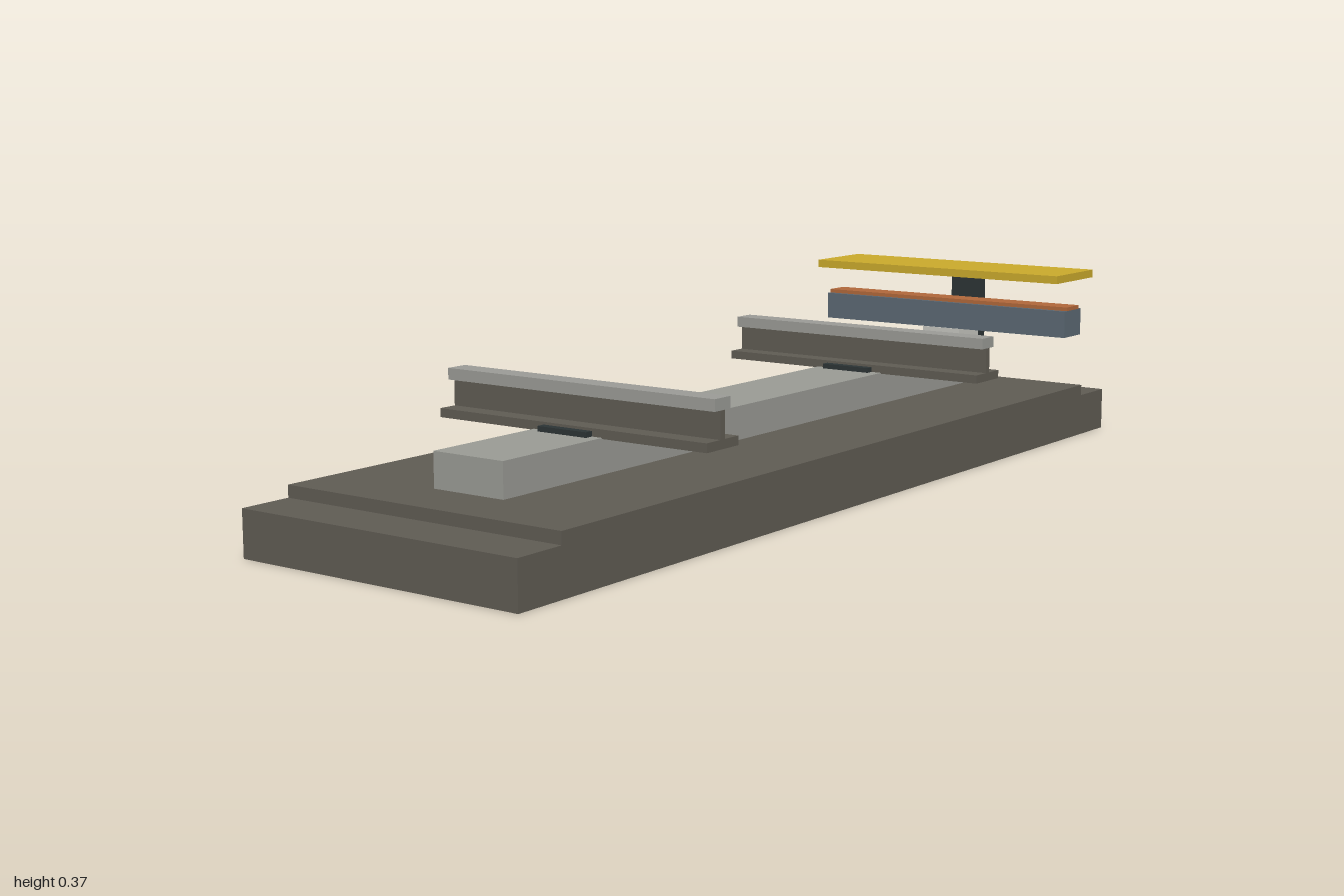
import * as THREE from 'three';

const material = (name, color) => {
  const m = new THREE.MeshStandardMaterial({ color });
  m.name = name;
  return m;
};

export function createModel() {
  const ballast = material('ballast brown', 0x5f5b53);
  const concrete = material('concrete grey', 0x999a94);
  const steel = material('polished steel', 0x9a9b96);
  const dark = material('dark fitting', 0x2c3435);
  const insulator = material('pale insulator', 0xc5c5bf);
  const slate = material('slate blue', 0x5b6873);
  const copper = material('copper', 0xb0673a);
  const yellow = material('safety yellow', 0xc9a92c);

  const model = new THREE.Group();
  model.name = 'trackSection';
  const length = 0.616; // along the rails, in x

  // Box centred on x, given its width and its y and z ranges
  const box = (parent, name, mat, width, y0, y1, z0, z1) => {
    const mesh = new THREE.Mesh(new THREE.BoxGeometry(width, y1 - y0, z1 - z0), mat);
    mesh.position.set(0, (y0 + y1) / 2, (z0 + z1) / 2);
    mesh.name = name;
    parent.add(mesh);
  };

  // Stepped track bed and sleeper
  box(model, 'lowerBed', ballast, length, 0, 0.088, -1, 1);
  box(model, 'upperBed', ballast, length, 0.088, 0.111, -0.895, 0.895);
  box(model, 'sleeper', concrete, 0.158, 0.111, 0.177, -0.773, 0.773);

  // Two running rails on base plates
  for (const [name, z] of [['frontRail', 0.465], ['backRail', -0.465]]) {
    const rail = new THREE.Group();
    rail.name = name;
    rail.position.z = z;
    box(rail, 'basePlate', dark, 0.112, 0.174, 0.187, -0.063, 0.063);
    box(rail, 'railFoot', ballast, length, 0.175, 0.192, -0.046, 0.046);
    box(rail, 'railWeb', ballast, length, 0.192, 0.243, -0.007, 0.007);
    box(rail, 'railHead', steel, length, 0.243, 0.265, -0.023, 0.023);
    model.add(rail);
  }

  // Power rail on its insulator, with a cover held by a rear bracket
  const power = new THREE.Group();
  power.name = 'powerRail';
  box(power, 'insulator', insulator, 0.094, 0.111, 0.226, -0.89, -0.803);
  box(power, 'conductor', slate, length, 0.226, 0.284, -0.882, -0.806);
  box(power, 'contactStrip', copper, length, 0.284, 0.292, -0.872, -0.816);
  box(power, 'cover', yellow, length, 0.348, 0.365, -0.936, -0.765);
  box(power, 'coverBracket', dark, 0.074, 0.111, 0.357, -0.937, -0.913);
  model.add(power);

  return model;
}
